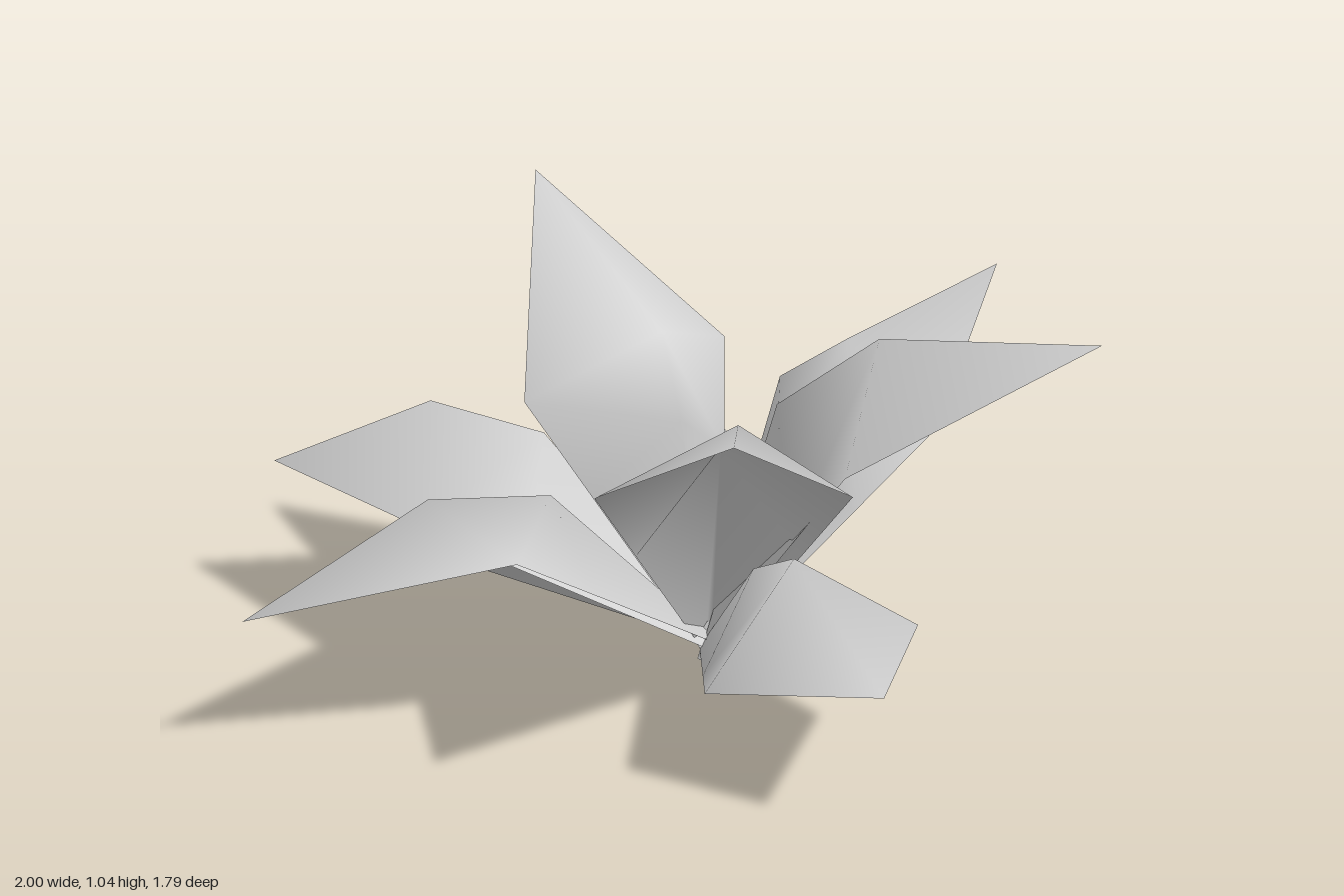
import * as THREE from 'three';

const HUB = new THREE.Vector3(0.05, 0.04, 0.08);

// Each leaf: one shoulder, other shoulder, ridge, inner ridge, tip
const LEAVES = {
  rightLeaf: [[-0.53, 0.43, 0.13], [-0.44, 0.27, -0.37], [-0.58, 0.51, -0.12], [-0.32, 0.48, -0.03], [-1, 0.32, -0.2]],
  backRightLeaf: [[-0.5, 0.37, -0.29], [0.02, 0.37, -0.58], [-0.29, 0.55, -0.53], [-0.15, 0.51, -0.28], [-0.5, 0.34, -0.9]],
  backLeftLeaf: [[0.12, 0.35, -0.41], [0.51, 0.26, -0.21], [0.34, 0.45, -0.33], [0.2, 0.4, -0.16], [0.52, 0.3, -0.64]],
  leftLeaf: [[0.52, 0.51, -0.22], [0.52, 0.53, 0.31], [0.49, 0.68, 0.04], [0.25, 0.49, 0.07], [1, 0.76, 0.03]],
  backUprightLeaf: [[-0.24, 0.62, -0.23], [0.285, 0.68, -0.155], [0.03, 0.77, -0.075], [0.04, 0.57, -0.02], [0.04, 1.04, -0.55]],
  frontLeftLeaf: [[0.47, 0.62, 0.215], [0.015, 0.61, 0.54], [0.24, 0.83, 0.4], [0.13, 0.65, 0.2], [0.515, 0.855, 0.78]],
  frontRightLeaf: [[0.01, 0.58, 0.57], [-0.405, 0.58, 0.235], [-0.14, 0.72, 0.38], [-0.04, 0.59, 0.21], [-0.475, 0.865, 0.75]],
  frontLeaf: [[0.135, 0.28, 0.65], [-0.355, 0.23, 0.53], [-0.11, 0.46, 0.525], [-0.03, 0.34, 0.31], [-0.205, 0.315, 0.895]],
};

// Folded blade made of three-point cross-sections running from stem to tip
function leafGeometry(points) {
  const [sideA, sideB, ridge, innerRidge, tip] = points.map(p => new THREE.Vector3(...p));
  const along = tip.clone().sub(HUB).normalize();
  const across = sideB.clone().sub(sideA).normalize();
  const root = HUB.clone().addScaledVector(along, -0.04);
  const rootA = root.clone().addScaledVector(across, -0.015);
  const rootB = root.clone().addScaledVector(across, 0.015);
  const rows = [
    [rootA, root, rootB],
    [rootA.clone().lerp(sideA, 0.65), innerRidge, rootB.clone().lerp(sideB, 0.65)],
    [sideA, ridge, sideB],
  ];
  const vertices = [...rows.flat(), tip];
  const index = [];
  for (let r = 0; r < 2; r++) {
    const a = r * 3, b = a + 3;
    index.push(a, a + 1, b, a + 1, b + 1, b);
    index.push(a + 1, a + 2, b + 1, a + 2, b + 2, b + 1);
  }
  index.push(6, 7, 9, 7, 8, 9);

  // Turn the blade so that its front side looks upward
  const up = new THREE.Vector3().crossVectors(across, along).y;
  if (up < 0) index.reverse();

  const geometry = new THREE.BufferGeometry().setFromPoints(vertices);
  geometry.setIndex(index);
  geometry.computeVertexNormals();
  return geometry;
}

export function createModel() {
  const model = new THREE.Group();
  model.name = 'plant';
  const material = new THREE.MeshStandardMaterial({ color: 0xcccccc, side: THREE.DoubleSide });
  material.name = 'paleGrey';
  for (const [name, points] of Object.entries(LEAVES)) {
    const leaf = new THREE.Mesh(leafGeometry(points), material);
    leaf.name = name;
    model.add(leaf);
  }
  return model;
}
